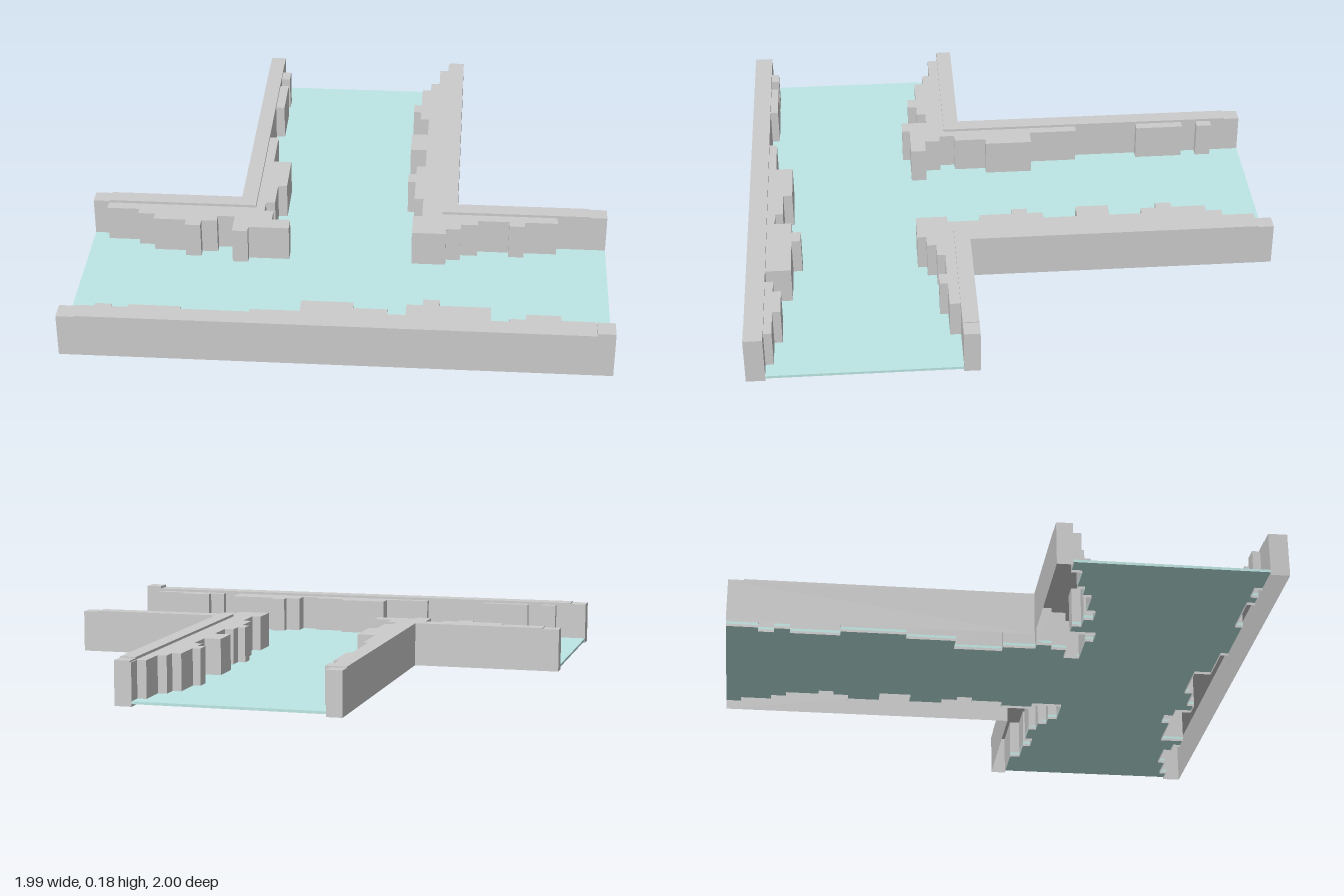
import * as THREE from 'three';

const X = 0.995; // half width of the crossing corridor
const stone = new THREE.MeshStandardMaterial({ color: 0xcccccc, flatShading: true, side: THREE.DoubleSide });
const water = new THREE.MeshStandardMaterial({ color: 0xbde7e4, flatShading: true });

// Stepped edge: runs holds [offset, end] pairs; along names the axis it follows
function steps(along, start, runs) {
  const pts = [];
  let from = start;
  for (const [offset, end] of runs) {
    for (const t of [from, end]) pts.push(along === 'x' ? [t, offset] : [offset, t]);
    from = end;
  }
  return pts;
}

// Upright prism over an outline of [x, z] points, optionally open underneath
function prism(name, outline, y0, y1, material, open) {
  const clean = outline.filter((p, i) => {
    const q = outline[(i + 1) % outline.length];
    return Math.hypot(p[0] - q[0], p[1] - q[1]) > 1e-6;
  });
  const shape = new THREE.Shape(clean.map(([x, z]) => new THREE.Vector2(x, -z)));
  const geo = new THREE.ExtrudeGeometry(shape, { depth: y1 - y0, bevelEnabled: false });
  if (open) {
    // the bottom lid comes first, in the first half of the lid group
    const skip = geo.groups[0].count / 2;
    for (const key of ['position', 'normal', 'uv']) {
      const a = geo.getAttribute(key);
      geo.setAttribute(key, new THREE.BufferAttribute(a.array.slice(skip * a.itemSize), a.itemSize));
    }
  }
  geo.clearGroups();
  geo.rotateX(-Math.PI / 2);
  geo.translate(0, y0, 0);
  const mesh = new THREE.Mesh(geo, material);
  mesh.name = name;
  return mesh;
}

const rect = (x0, x1, z0, z1) => [[x0, z0], [x1, z0], [x1, z1], [x0, z1]];

export function createModel() {
  const group = new THREE.Group();
  group.name = 'corridorJunction';

  // Rocky inner edges of the three walls
  const edgeA = [
    ...steps('z', -1, [[-0.36, -0.88], [-0.325, -0.82], [-0.36, -0.76], [-0.325, -0.57], [-0.36, -0.32],
      [-0.325, -0.13], [-0.255, 0.055], [-0.29, 0.18], [-0.325, 0.24], [-0.29, 0.3], [-0.22, 0.36]]),
    ...steps('x', -0.22, [[0.36, -0.375], [0.39, -0.435], [0.29, -0.5], [0.325, -0.56], [0.36, -0.62],
      [0.325, -0.745], [0.29, -0.81], [0.26, -0.935], [0.22, -X]]),
  ];
  const edgeB = [
    ...steps('z', -1, [[0.355, -0.94], [0.32, -0.82], [0.285, -0.76], [0.25, -0.63], [0.22, -0.57],
      [0.25, -0.51], [0.285, -0.385], [0.22, -0.26], [0.285, -0.13], [0.25, -0.07], [0.22, -0.01],
      [0.25, 0.115], [0.285, 0.24], [0.25, 0.36]]),
    ...steps('x', 0.25, [[0.36, 0.38], [0.325, 0.435], [0.29, 0.5], [0.26, 0.62], [0.29, 0.68],
      [0.26, 0.805], [0.22, X]]),
  ];
  const edgeC = steps('x', -X, [[0.93, -0.87], [0.9, -0.81], [0.93, -0.75], [0.9, -0.56], [0.93, -0.31],
    [0.9, -0.13], [0.835, 0.06], [0.87, 0.185], [0.9, 0.25], [0.835, 0.31], [0.8, 0.37], [0.835, 0.555],
    [0.93, 0.62], [0.9, 0.68], [0.87, 0.805], [0.9, 0.93], [0.93, X]]);

  // Floor fills the space between the edges
  group.add(prism('floor', [...edgeA, ...edgeC, ...[...edgeB].reverse()], 0.01, 0.02, water, false));

  // Hollow walls
  const ledge = 0.16;
  group.add(
    prism('rightCornerWall', [...edgeA, [-X, 0.16], [-0.42, 0.16], [-0.42, -1]], 0, ledge, stone, true),
    prism('leftCornerWall', [...edgeB, [X, 0.16], [0.42, 0.16], [0.42, -1]], 0, ledge, stone, true),
    prism('frontWall', [...edgeC, [X, 1], [-X, 1]], 0, ledge, stone, true),
  );

  // Slightly raised coping along the outer faces, with separate end blocks
  for (const s of [-1, 1]) {
    const side = s < 0 ? 'right' : 'left';
    const corner = [[0.42, -0.94], [0.36, -0.94], [0.36, 0.22], [0.93, 0.22], [0.93, 0.16], [0.42, 0.16]];
    group.add(
      prism(side + 'CornerCoping', corner.map(([x, z]) => [s * x, z]), ledge, 0.17, stone, true),
      prism(side + 'StemEndBlock', rect(s * 0.42, s * 0.36, -1, -0.94), ledge, 0.166, stone, true),
      prism(side + 'WingEndBlock', rect(s * 0.93, s * X, 0.16, 0.22), ledge, 0.166, stone, true),
      prism(side + 'FrontEndBlock', rect(s * 0.93, s * X, 0.93, 1), ledge, s < 0 ? 0.166 : 0.18, stone, true),
    );
  }
  group.add(prism('frontCoping', rect(-0.93, 0.93, 0.93, 1), ledge, 0.17, stone, true));

  return group;
}
